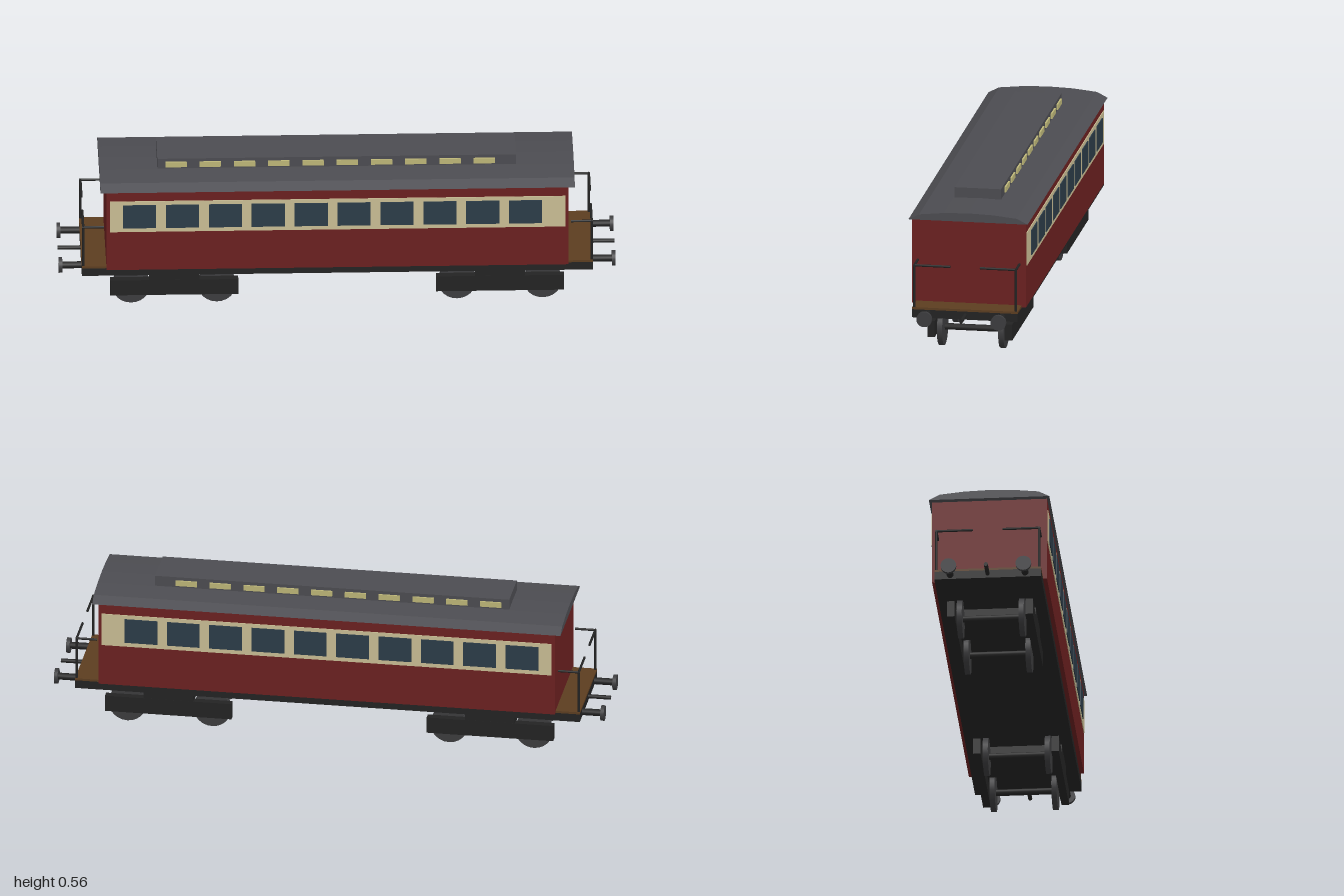
import * as THREE from 'three';

const mat = (color) => new THREE.MeshStandardMaterial({ color });

export function createModel() {
  const root = new THREE.Group();
  root.name = 'passengerCarriage';

  const red = mat(0x6b2020), cream = mat(0xc9bd94), glass = mat(0x2c3c48);
  const roofGrey = mat(0x4c4c51), lampGlass = mat(0xbdb678), wood = mat(0x5c3d20);
  const iron = mat(0x232323), steel = mat(0x3c3c3e);

  const add = (parent, name, geometry, material, x, y, z) => {
    const mesh = new THREE.Mesh(geometry, material);
    mesh.name = name;
    mesh.position.set(x, y, z);
    parent.add(mesh);
    return mesh;
  };
  // Box given by its size and centre
  const box = (parent, name, material, w, h, d, x, y, z) =>
    add(parent, name, new THREE.BoxGeometry(w, h, d), material, x, y, z);
  // Cylinder lying along the x, y or z axis
  const rod = (parent, name, material, axis, r, length, x, y, z, sides = 20) => {
    const g = new THREE.CylinderGeometry(r, r, length, sides);
    if (axis === 'x') g.rotateZ(Math.PI / 2);
    if (axis === 'z') g.rotateX(Math.PI / 2);
    return add(parent, name, g, material, x, y, z);
  };

  // Underframe, deck and body
  box(root, 'underframe', iron, 1.836, 0.03, 0.384, 0, 0.162, 0);
  box(root, 'deck', wood, 1.836, 0.008, 0.384, 0, 0.181, 0);
  box(root, 'body', red, 1.66, 0.318, 0.414, 0, 0.336, 0);

  // Cream band and windows on both sides
  for (const s of [1, -1]) {
    box(root, 'windowBand', cream, 1.636, 0.123, 0.004, 0, 0.393, s * 0.208);
    for (let i = 0; i < 10; i++) {
      box(root, 'window', glass, 0.119, 0.092, 0.006, -0.711 + i * 0.154, 0.394, s * 0.2105);
    }
  }

  // Shallow curved roof
  const half = [[0.217, 0.493], [0.178, 0.513], [0.09, 0.522]];
  const profile = [...half, [0, 0.525], ...half.map(([z, y]) => [-z, y]).reverse()];
  const roofShape = new THREE.Shape(profile.map(([z, y]) => new THREE.Vector2(z, y)));
  const roof = new THREE.ExtrudeGeometry(roofShape, { depth: 1.704, bevelEnabled: false });
  roof.translate(0, 0, -0.852).rotateY(Math.PI / 2);
  add(root, 'roof', roof, roofGrey, 0, 0, 0);

  // Raised roof light with small panes
  box(root, 'roofLight', roofGrey, 1.288, 0.042, 0.169, 0, 0.54, 0);
  for (const s of [1, -1]) {
    for (let i = 0; i < 10; i++) {
      box(root, 'roofLightPane', lampGlass, 0.077, 0.02, 0.006, -0.577 + i * 0.123, 0.539, s * 0.0875);
    }
  }

  // Two bogies
  for (const e of [1, -1]) {
    const bogie = new THREE.Group();
    bogie.name = 'bogie';
    bogie.position.x = e * 0.585;
    root.add(bogie);
    box(bogie, 'bolster', iron, 0.18, 0.037, 0.308, 0, 0.1185, 0);
    for (const s of [1, -1]) box(bogie, 'sideFrame', iron, 0.46, 0.06, 0.027, 0, 0.077, s * 0.141);
    for (const a of [1, -1]) {
      rod(bogie, 'axle', iron, 'z', 0.012, 0.23, a * 0.154, 0.0685, 0, 10);
      for (const s of [1, -1]) rod(bogie, 'wheel', steel, 'z', 0.0685, 0.019, a * 0.154, 0.0685, s * 0.1115, 24);
    }
  }

  // Buffers, coupling and platform railings at both ends
  for (const e of [1, -1]) {
    rod(root, 'coupling', iron, 'x', 0.0075, 0.085, e * 0.9575, 0.163, 0, 10);
    for (const s of [1, -1]) {
      rod(root, 'bufferStem', iron, 'x', 0.0125, 0.075, e * 0.95, 0.163, s * 0.135, 12);
      rod(root, 'bufferHead', steel, 'x', 0.028, 0.013, e * 0.9935, 0.163, s * 0.135, 24);
      rod(root, 'railingPost', iron, 'y', 0.0045, 0.157, e * 0.913, 0.2635, s * 0.185, 8);
      rod(root, 'sideRail', iron, 'x', 0.0045, 0.078, e * 0.878, 0.34, s * 0.185, 8);
      rod(root, 'endRail', iron, 'z', 0.0045, 0.134, e * 0.913, 0.34, s * 0.121, 8);
    }
  }
  return root;
}
